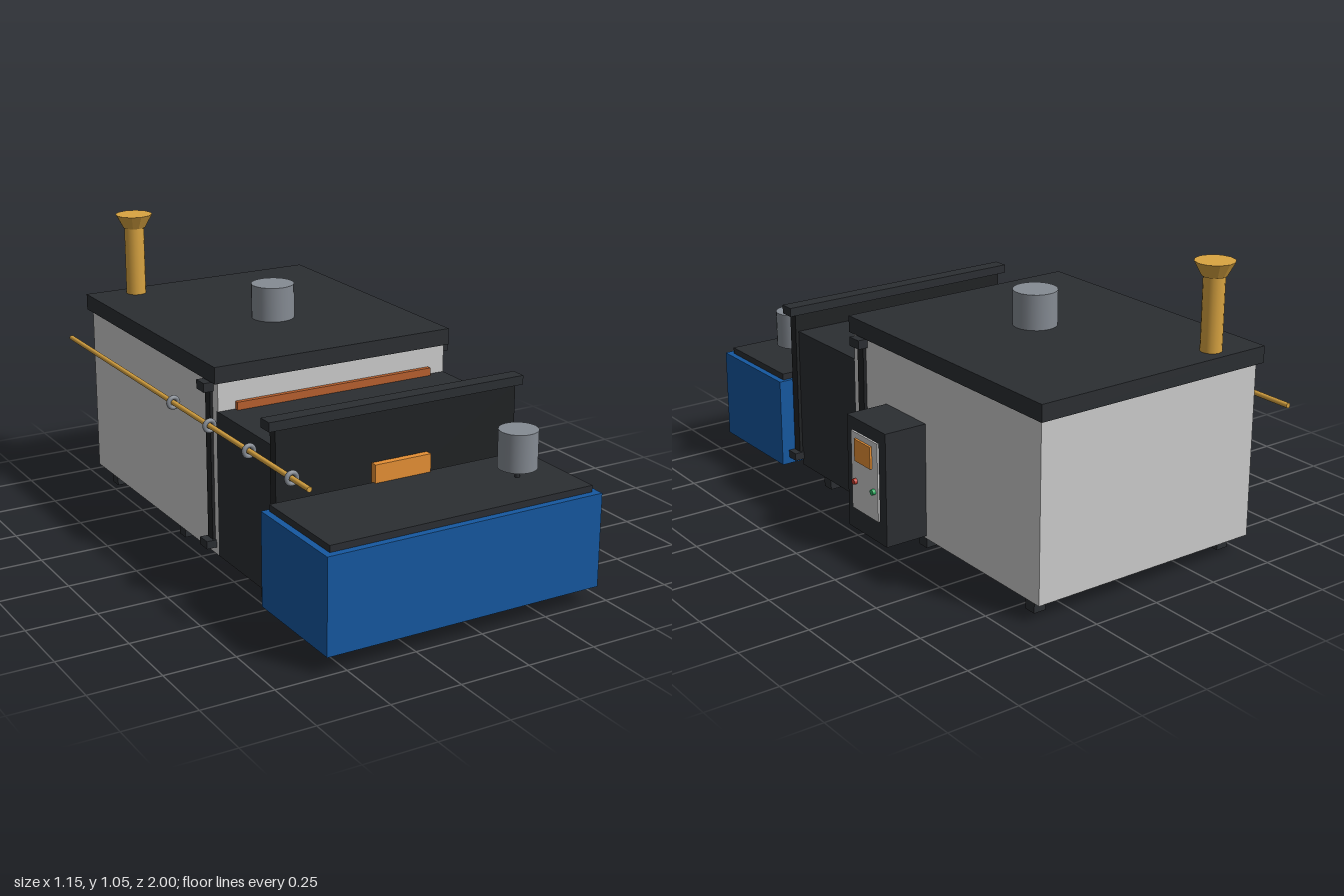
import * as THREE from 'three';

const mat = (color, flatShading = false) => {
  const m = new THREE.MeshStandardMaterial({ color });
  m.flatShading = flatShading;
  return m;
};

export function createModel() {
  const root = new THREE.Group();
  root.name = 'industrialFurnace';

  const grey = mat(0xcccccc), dark = mat(0x2b2e32), black = mat(0x202224);
  const blue = mat(0x1558a0), steel = mat(0x858b93), gold = mat(0xd9a441);
  const goldFlat = mat(0xd9a441, true), orange = mat(0xe69035), rust = mat(0xb8602e);
  const red = mat(0xc0392b), green = mat(0x27ae60);

  const add = (name, geometry, material, x, y, z, parent = root) => {
    const mesh = new THREE.Mesh(geometry, material);
    mesh.name = name;
    mesh.position.set(x, y, z);
    parent.add(mesh);
    return mesh;
  };
  // Box given by its lower and upper bounds on each axis
  const box = (name, material, [x0, x1], [y0, y1], [z0, z1], parent = root) =>
    add(name, new THREE.BoxGeometry(x1 - x0, y1 - y0, z1 - z0), material,
      (x0 + x1) / 2, (y0 + y1) / 2, (z0 + z1) / 2, parent);
  // Upright cylinder or cone between two heights
  const cylinder = (name, material, rTop, rBottom, [y0, y1], x, z, sides = 24) =>
    add(name, new THREE.CylinderGeometry(rTop, rBottom, y1 - y0, sides), material, x, (y0 + y1) / 2, z);

  // Main chamber with overhanging lid
  box('chamber', grey, [-0.505, 0.395], [0.06, 0.686], [-0.89, 0.163]);
  box('chamberLid', dark, [-0.52, 0.41], [0.686, 0.745], [-0.91, 0.172]);
  cylinder('lidFan', steel, 0.078, 0.078, [0.745, 0.87], -0.055, -0.28);
  box('burnerBar', rust, [-0.44, 0.33], [0.585, 0.613], [0.16, 0.18]);

  // Exhaust chimney with flared cap
  cylinder('chimneyPipe', gold, 0.037, 0.037, [0.683, 1.0], -0.345, -0.84, 16);
  cylinder('chimneyCap', goldFlat, 0.069, 0.042, [1.0, 1.05], -0.345, -0.84, 12);

  // Middle vestibule
  box('vestibule', dark, [-0.505, 0.395], [0.06, 0.585], [0.15, 0.545]);

  // Sliding doors with header and sill bars
  for (const [name, z] of [['frontDoor', 0.563], ['innerDoor', 0.106]]) {
    const door = new THREE.Group();
    door.name = name;
    root.add(door);
    box('doorPanel', black, [-0.515, 0.407], [0.085, 0.655], [z - 0.018, z + 0.018], door);
    box('doorHeader', dark, [-0.542, 0.432], [0.65, 0.682], [z - 0.028, z + 0.028], door);
    box('doorSill', dark, [-0.542, 0.432], [0.085, 0.113], [z - 0.027, z + 0.027], door);
  }

  // Quench tank in front
  box('quenchTank', blue, [-0.57, 0.46], [0.06, 0.39], [0.583, 1.0]);
  box('tankLid', dark, [-0.547, 0.438], [0.39, 0.413], [0.597, 0.975]);
  box('tankHandle', orange, [-0.162, 0.052], [0.39, 0.477], [0.585, 0.61]);
  cylinder('agitatorShaft', dark, 0.009, 0.009, [0.405, 0.455], 0.272, 0.79, 12);
  cylinder('agitatorMotor', steel, 0.067, 0.067, [0.448, 0.58], 0.272, 0.79);

  // Control cabinet on the left flank
  const cabinet = new THREE.Group();
  cabinet.name = 'controlCabinet';
  root.add(cabinet);
  box('cabinetBody', dark, [0.39, 0.555], [0.07, 0.478], [-0.27, -0.035], cabinet);
  box('controlPanel', grey, [0.55, 0.562], [0.15, 0.432], [-0.23, -0.07], cabinet);
  box('screen', orange, [0.558, 0.57], [0.332, 0.412], [-0.197, -0.1], cabinet);
  for (const [name, material, z] of [['redButton', red, -0.095], ['greenButton', green, -0.208]]) {
    add(name, new THREE.CylinderGeometry(0.01, 0.01, 0.014, 16), material, 0.567, 0.254, z, cabinet)
      .rotation.z = -Math.PI / 2;
  }

  // Gas line with ring clamps along the right flank
  add('gasPipe', new THREE.CylinderGeometry(0.009, 0.009, 1.865, 16), gold, -0.553, 0.555, -0.0675)
    .rotation.x = Math.PI / 2;
  for (const z of [-0.085, 0.195, 0.475, 0.755]) {
    add('pipeClamp', new THREE.TorusGeometry(0.018, 0.008, 10, 20), steel, -0.553, 0.555, z);
  }

  // Feet and underside rails
  for (const x of [-0.452, 0.342]) {
    for (const z of [0.87, 0.42, -0.205, -0.805]) {
      box('foot', dark, [x - 0.023, x + 0.023], [0, 0.062], [z - 0.023, z + 0.023]);
    }
  }
  for (const x of [-0.188, 0.078]) {
    box('underRail', dark, [x - 0.018, x + 0.018], [0.055, 0.066], [-0.71, 0.92]);
  }

  return root;
}
